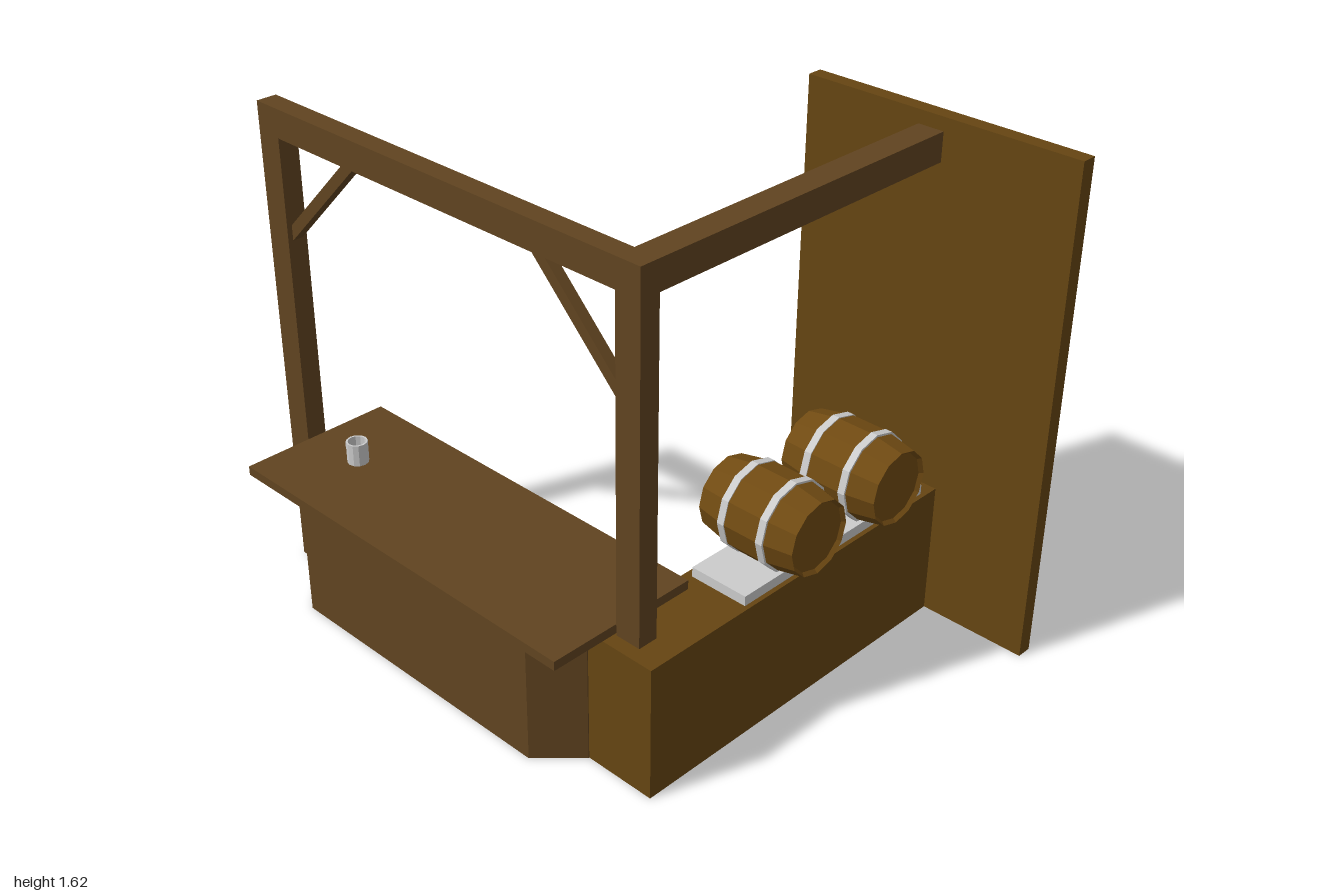
import * as THREE from 'three';

const mat = (color, side = THREE.FrontSide) =>
  new THREE.MeshStandardMaterial({ color, flatShading: true, side });
const darkWood = mat(0x614420);
const wood = mat(0x664512);
const barrelWood = mat(0x704a12);
const grey = mat(0xcccccc);
const greyThin = mat(0xcccccc, THREE.DoubleSide);

export function createModel() {
  const model = new THREE.Group();
  model.name = 'tavernBar';

  const add = (name, geometry, material, parent = model) => {
    const mesh = new THREE.Mesh(geometry, material);
    mesh.name = name;
    parent.add(mesh);
    return mesh;
  };
  // Box given by its limits on each axis
  const box = (name, material, [x0, x1], [y0, y1], [z0, z1]) => {
    const mesh = add(name, new THREE.BoxGeometry(x1 - x0, y1 - y0, z1 - z0), material);
    mesh.position.set((x0 + x1) / 2, (y0 + y1) / 2, (z0 + z1) / 2);
    return mesh;
  };
  const shape = (points) => new THREE.Shape(points.map(([x, y]) => new THREE.Vector2(x, y)));

  // Back wall and side counter
  box('backWall', wood, [0.065, 1], [0, 1.625], [-0.74, -0.69]);
  box('sideCounter', wood, [0.4, 0.64], [0, 0.443], [-0.69, 0.557]);

  // Front counter with two cut front corners
  const outline = shape([
    [-0.85, -0.285], [-0.85, -0.56], [-0.73, -0.68],
    [0.28, -0.68], [0.4, -0.56], [0.4, -0.285],
  ]);
  const body = new THREE.ExtrudeGeometry(outline, { depth: 0.445, bevelEnabled: false });
  body.rotateX(-Math.PI / 2);
  add('frontCounter', body, darkWood);
  box('counterTop', darkWood, [-0.91, 0.46], [0.445, 0.475], [0.222, 0.738]);

  // Timber frame
  const frameZ = [0.445, 0.512];
  box('leftPost', darkWood, [-1, -0.91], [0, 1.49], frameZ);
  box('rightPost', darkWood, [0.465, 0.552], [0.443, 1.49], frameZ);
  box('frontBeam', darkWood, [-1, 0.552], [1.49, 1.582], frameZ);
  box('sideBeam', darkWood, [0.465, 0.552], [1.49, 1.582], [-0.69, 0.445]);

  // Diagonal braces, mirrored about the middle of the frame
  for (const [name, postX, dir] of [['leftBrace', -0.91, 1], ['rightBrace', 0.465, -1]]) {
    const brace = shape([
      [postX, 1.16], [postX + dir * 0.33, 1.49], [postX + dir * 0.28, 1.49], [postX, 1.21],
    ]);
    const geometry = new THREE.ExtrudeGeometry(brace, { depth: 0.034, bevelEnabled: false });
    add(name, geometry, darkWood).position.z = 0.461;
  }

  // Barrel rack
  box('barrelRack', grey, [0.425, 0.625], [0.443, 0.475], [-0.635, 0.168]);

  // Barrels lie along x, with recessed ends and two hoops
  const lathe = (points) => new THREE.LatheGeometry(
    points.map(([r, y]) => new THREE.Vector2(r, y)), 12);
  const barrelProfile = [
    [0, -0.162], [0.108, -0.162], [0.118, -0.173], [0.135, -0.085], [0.139, -0.06],
    [0.139, 0.06], [0.135, 0.085], [0.118, 0.173], [0.108, 0.162], [0, 0.162],
  ];
  const hoopProfile = [[0.13, -0.012], [0.142, -0.012], [0.142, 0.012], [0.13, 0.012]];
  for (const z of [-0.05, -0.41]) {
    const barrel = new THREE.Group();
    barrel.name = 'barrel';
    add('barrelBody', lathe(barrelProfile), barrelWood, barrel);
    for (const y of [-0.071, 0.071]) {
      add('barrelHoop', lathe(hoopProfile), grey, barrel).position.y = y;
    }
    barrel.rotation.z = -Math.PI / 2;
    barrel.position.set(0.528, 0.6, z);
    model.add(barrel);
  }

  // Mug with a hollow cup and a side handle
  const mug = new THREE.Group();
  mug.name = 'mug';
  mug.position.set(-0.697, 0.475, 0.48);
  add('cup', lathe([[0, 0], [0.034, 0], [0.034, 0.072], [0.028, 0.072], [0.028, 0.01], [0, 0.01]]),
    greyThin, mug);
  const handle = add('handle', new THREE.TorusGeometry(0.022, 0.004, 6, 10, Math.PI), grey, mug);
  handle.rotation.z = Math.PI / 2;
  handle.position.set(-0.033, 0.037, 0);
  model.add(mug);

  return model;
}
